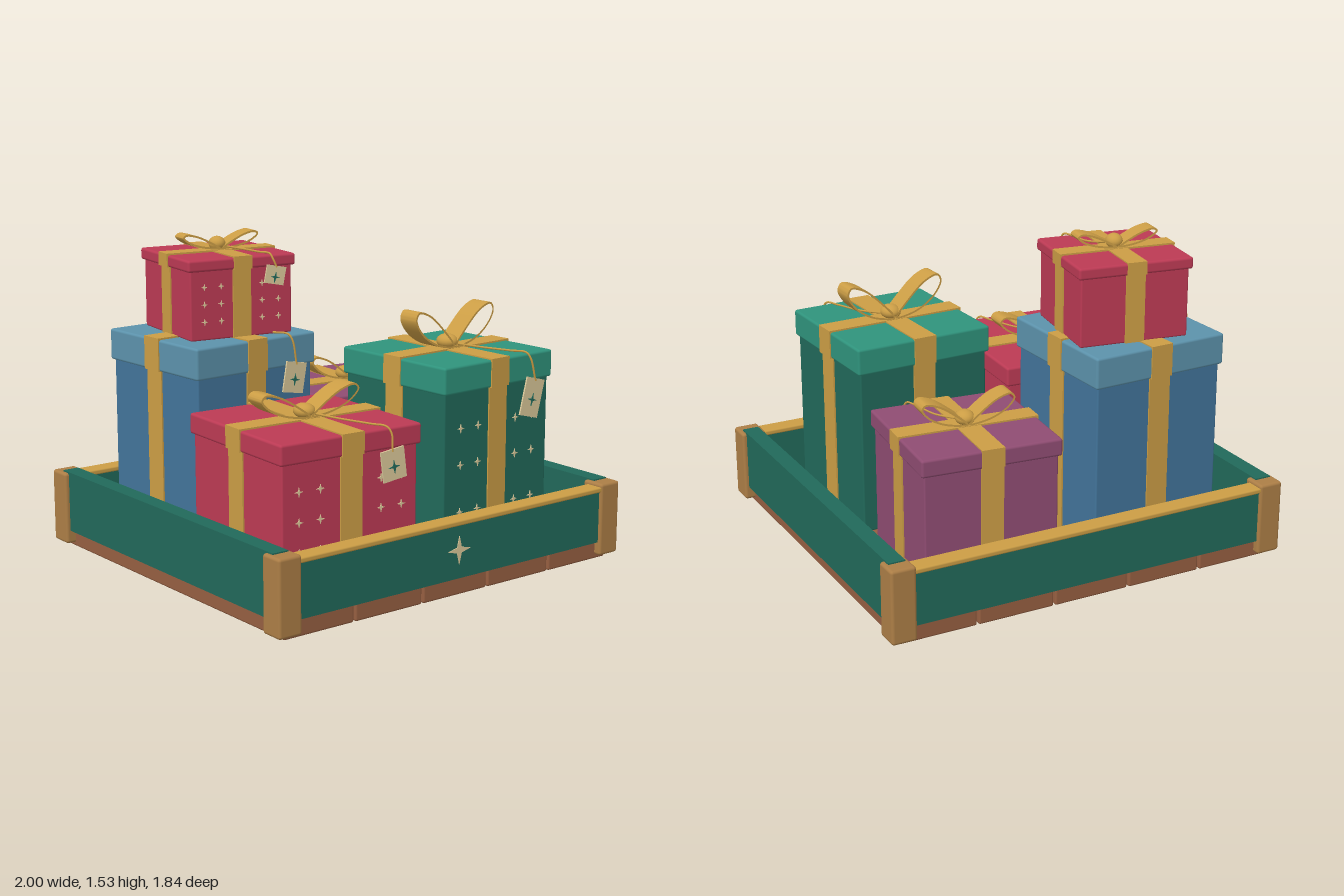
import * as THREE from 'three';
import { toCreasedNormals } from 'three/addons/utils/BufferGeometryUtils.js';
import { RoundedBoxGeometry } from 'three/addons/geometries/RoundedBoxGeometry.js';

const paint = (name, color) => {
  const m = new THREE.MeshStandardMaterial({ color });
  m.name = name;
  return m;
};
const M = {
  red: paint('crimson', 0xbc3a54),
  green: paint('dark green', 0x21695a),
  greenLid: paint('light green', 0x2f937c),
  blue: paint('dark blue', 0x42749a),
  blueLid: paint('light blue', 0x5c92ab),
  purple: paint('purple', 0x8f4c72),
  gold: paint('gold', 0xcb9d45),
  post: paint('light wood', 0xac7e46),
  plank: paint('brown wood', 0x965f41),
  cream: paint('cream', 0xdcc99a),
};

function add(parent, name, geo, mat, x = 0, y = 0, z = 0) {
  const m = new THREE.Mesh(geo, mat);
  m.name = name;
  m.position.set(x, y, z);
  parent.add(m);
  return m;
}
const box = (w, h, d) => new THREE.BoxGeometry(w, h, d);
const soft = (w, h, d, r = 0.012) => new RoundedBoxGeometry(w, h, d, 2, r);

// Thin four-pointed star facing +z
function starGeo(r, inner = 0.25) {
  const pts = [];
  for (let i = 0; i < 8; i++) {
    const a = i * Math.PI / 4, k = i % 2 ? r * inner : r;
    pts.push(new THREE.Vector2(Math.cos(a) * k, Math.sin(a) * k));
  }
  return new THREE.ExtrudeGeometry(new THREE.Shape(pts), { depth: 0.004, bevelEnabled: false });
}

// One teardrop ribbon loop, running out along +x
function loopGeo(len, height, width) {
  const outline = [[0, 0], [0.3, 0.5], [0.65, 0.9], [0.92, 1], [1, 0.8], [0.84, 0.42], [0.45, 0.08]];
  const curve = new THREE.CatmullRomCurve3(
    outline.map(([x, y]) => new THREE.Vector3(x * len, y * height, 0)), true);
  const outer = curve.getPoints(48).slice(0, 48).map(p => new THREE.Vector2(p.x, p.y));
  const t = 0.009;
  const inner = outer.map((p, i) => {
    const d = outer[(i + 1) % 48].clone().sub(outer[(i + 47) % 48]).normalize();
    return new THREE.Vector2(p.x + d.y * t, p.y - d.x * t);
  });
  const shape = new THREE.Shape(outer);
  shape.holes.push(new THREE.Path(inner));
  const g = new THREE.ExtrudeGeometry(shape, { depth: width, bevelEnabled: false });
  g.translate(0, 0, -width / 2);
  return toCreasedNormals(g, 0.7);
}

function addBow(gift, top, { len, height }, rw) {
  const bow = new THREE.Group();
  bow.name = 'bow';
  bow.position.y = top + 0.012;
  gift.add(bow);
  const geo = loopGeo(len, height, rw * 0.95);
  add(bow, 'bowLoopLeft', geo, M.gold);
  add(bow, 'bowLoopRight', geo, M.gold).rotation.y = Math.PI;
  const knot = add(bow, 'bowKnot', new THREE.SphereGeometry(1, 20, 12), M.gold, 0, 0.02, 0);
  knot.scale.set(rw * 0.42, 0.035, rw * 0.5);
}

// Hanging tag with a string from the knot over the lid's front edge
function addTag(gift, top, depth, { x, y, w, h, tilt }) {
  const z = depth / 2 + 0.022;
  const tag = new THREE.Group();
  tag.name = 'tag';
  tag.position.set(x, y, z);
  tag.rotation.z = tilt;
  gift.add(tag);
  add(tag, 'tagCard', box(w, h, 0.008), M.cream);
  add(tag, 'tagStar', starGeo(w * 0.25), M.green, 0, -0.01, 0.004);
  const path = new THREE.CatmullRomCurve3([
    [0.03, top + 0.02, 0.03], [0.09, top + 0.011, depth * 0.2],
    [x * 0.75, top + 0.009, depth * 0.4], [x * 0.9, top + 0.007, depth / 2],
    [x * 0.96, top - 0.02, z - 0.004],
    [x - Math.sin(tilt) * h * 0.42, y + h * 0.42, z + 0.003],
  ].map(p => new THREE.Vector3(...p)));
  add(gift, 'tagString', new THREE.TubeGeometry(path, 40, 0.005, 6), M.gold);
}

function makeGift(o) {
  const gift = new THREE.Group();
  gift.name = o.name;
  gift.position.set(o.x, o.base, o.z);
  gift.rotation.y = o.turn;
  const top = o.top - o.base, seam = o.seam - o.base, lidH = top - seam;
  const bw = o.w - 0.03, bd = o.d - 0.03, rw = o.ribbon;
  add(gift, 'box', soft(bw, seam + 0.01, bd, 0.008), o.body, 0, (seam + 0.01) / 2, 0);
  add(gift, 'lid', soft(o.w, lidH, o.d), o.lid, 0, seam + lidH / 2, 0);

  // Ribbons over the lid and down the sides
  const lidBand = lidH + 0.006;
  add(gift, 'lidRibbonLengthwise', box(rw, lidBand, o.d + 0.012), M.gold, 0, seam + lidBand / 2, 0);
  add(gift, 'lidRibbonCrosswise', box(o.w + 0.012, lidBand + 0.002, rw), M.gold, 0, seam + lidBand / 2 + 0.001, 0);
  add(gift, 'boxRibbonLengthwise', box(rw, seam, bd + 0.014), M.gold, 0, seam / 2 + 0.001, 0);
  add(gift, 'boxRibbonCrosswise', box(bw + 0.014, seam, rw), M.gold, 0, seam / 2 + 0.001, 0);

  if (o.bow) addBow(gift, top, o.bow, rw);
  if (o.tag) addTag(gift, top, o.d, { ...o.tag, y: o.tag.y - o.base });

  // Small stars printed on the front
  if (o.rows) {
    const geo = starGeo(o.starSize, 0.3);
    for (const y of o.rows) for (const x of o.cols) for (const s of [-1, 1])
      add(gift, 'printedStar', geo, M.cream, s * x, y - o.base, bd / 2);
  }
  return gift;
}

export function createModel() {
  const model = new THREE.Group();
  model.name = 'giftTray';

  // Tray floor
  for (let i = -2; i <= 2; i++)
    add(model, 'floorPlank', soft(0.373, 0.085, 1.77, 0.01), M.plank, i * 0.382, 0.0425, 0);

  // Tray walls, rails and corner posts
  for (const s of [-1, 1]) {
    add(model, s > 0 ? 'frontWall' : 'backWall', box(1.8, 0.255, 0.075), M.green, 0, 0.2125, s * 0.868);
    add(model, s > 0 ? 'frontRail' : 'backRail', soft(1.8, 0.025, 0.09, 0.008), M.gold, 0, 0.342, s * 0.87);
    add(model, s > 0 ? 'leftWall' : 'rightWall', box(0.08, 0.292, 1.7), M.green, s * 0.94, 0.23, 0);
    for (const t of [-1, 1])
      add(model, 'cornerPost', soft(0.12, 0.35, 0.12, 0.014), M.post, s * 0.94, 0.195, t * 0.86);
  }
  add(model, 'wallStar', starGeo(0.066, 0.28), M.cream, 0, 0.217, 0.905);

  const gifts = [
    { name: 'redGift', x: -0.45, z: 0.37, turn: -0.058, w: 0.74, d: 0.745, base: 0.085, seam: 0.69, top: 0.785,
      body: M.red, lid: M.red, ribbon: 0.115, bow: { len: 0.26, height: 0.125 },
      tag: { x: 0.2, y: 0.625, w: 0.125, h: 0.14, tilt: 0.13 },
      rows: [0.565, 0.43, 0.295, 0.16], cols: [0.16, 0.27], starSize: 0.021 },
    { name: 'greenGift', x: 0.377, z: 0.385, turn: 0.042, w: 0.69, d: 0.69, base: 0.085, seam: 0.875, top: 1.003,
      body: M.green, lid: M.greenLid, ribbon: 0.112, bow: { len: 0.25, height: 0.185 },
      tag: { x: 0.19, y: 0.8, w: 0.118, h: 0.18, tilt: -0.26 },
      rows: [0.71, 0.54, 0.32, 0.16], cols: [0.12, 0.23], starSize: 0.021 },
    { name: 'purpleGift', x: 0.375, z: -0.38, turn: -0.09, w: 0.665, d: 0.665, base: 0.085, seam: 0.645, top: 0.728,
      body: M.purple, lid: M.purple, ribbon: 0.108, bow: { len: 0.225, height: 0.125 },
      tag: { x: 0.17, y: 0.6, w: 0.11, h: 0.14, tilt: -0.15 } },
    { name: 'blueGift', x: -0.425, z: -0.38, turn: 0.043, w: 0.69, d: 0.69, base: 0.085, seam: 0.92, top: 1.068,
      body: M.blue, lid: M.blueLid, ribbon: 0.11,
      tag: { x: 0.2, y: 0.87, w: 0.12, h: 0.145, tilt: -0.18 } },
    { name: 'smallRedGift', x: -0.39, z: -0.38, turn: -0.145, w: 0.55, d: 0.525, base: 1.07, seam: 1.388, top: 1.443,
      body: M.red, lid: M.red, ribbon: 0.092, bow: { len: 0.195, height: 0.075 },
      tag: { x: 0.155, y: 1.352, w: 0.1, h: 0.085, tilt: -0.2 },
      rows: [1.315, 1.235, 1.155], cols: [0.105, 0.19], starSize: 0.016 },
  ];
  for (const g of gifts) model.add(makeGift(g));
  return model;
}
